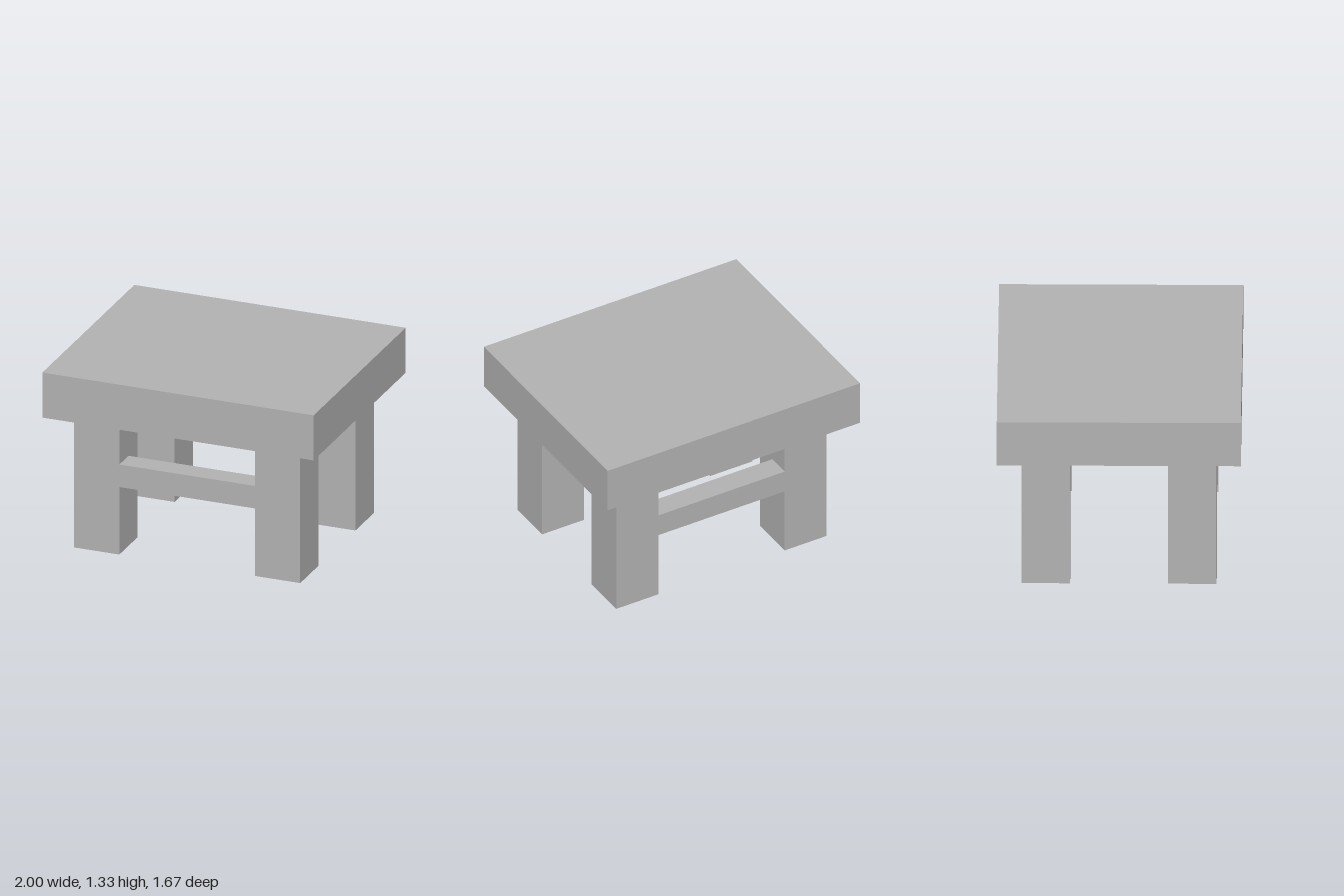
import * as THREE from 'three';

const U = 1 / 6; // module size: every part is a whole number of these

export function createModel() {
  const group = new THREE.Group();
  group.name = 'table';
  const grey = new THREE.MeshStandardMaterial({ color: 0xb2b2b2 });
  grey.name = 'grey';

  // box with its size and centre given in modules
  const box = (name, [w, h, d], [x, y, z]) => {
    const mesh = new THREE.Mesh(new THREE.BoxGeometry(w * U, h * U, d * U), grey);
    mesh.position.set(x * U, y * U, z * U);
    mesh.name = name;
    group.add(mesh);
  };

  // thick slab top
  box('tableTop', [12, 2, 10], [0, 7, 0]);

  for (const [end, sz] of [['front', 1], ['back', -1]]) {
    // square legs
    for (const [side, sx] of [['Left', 1], ['Right', -1]]) {
      box(`${end}${side}Leg`, [2, 6, 2], [4 * sx, 3, 3 * sz]);
    }
    // stretcher between the legs, flush with their outer faces
    box(`${end}Stretcher`, [6, 1, 1], [0, 3.5, 3.5 * sz]);
  }
  return group;
}
